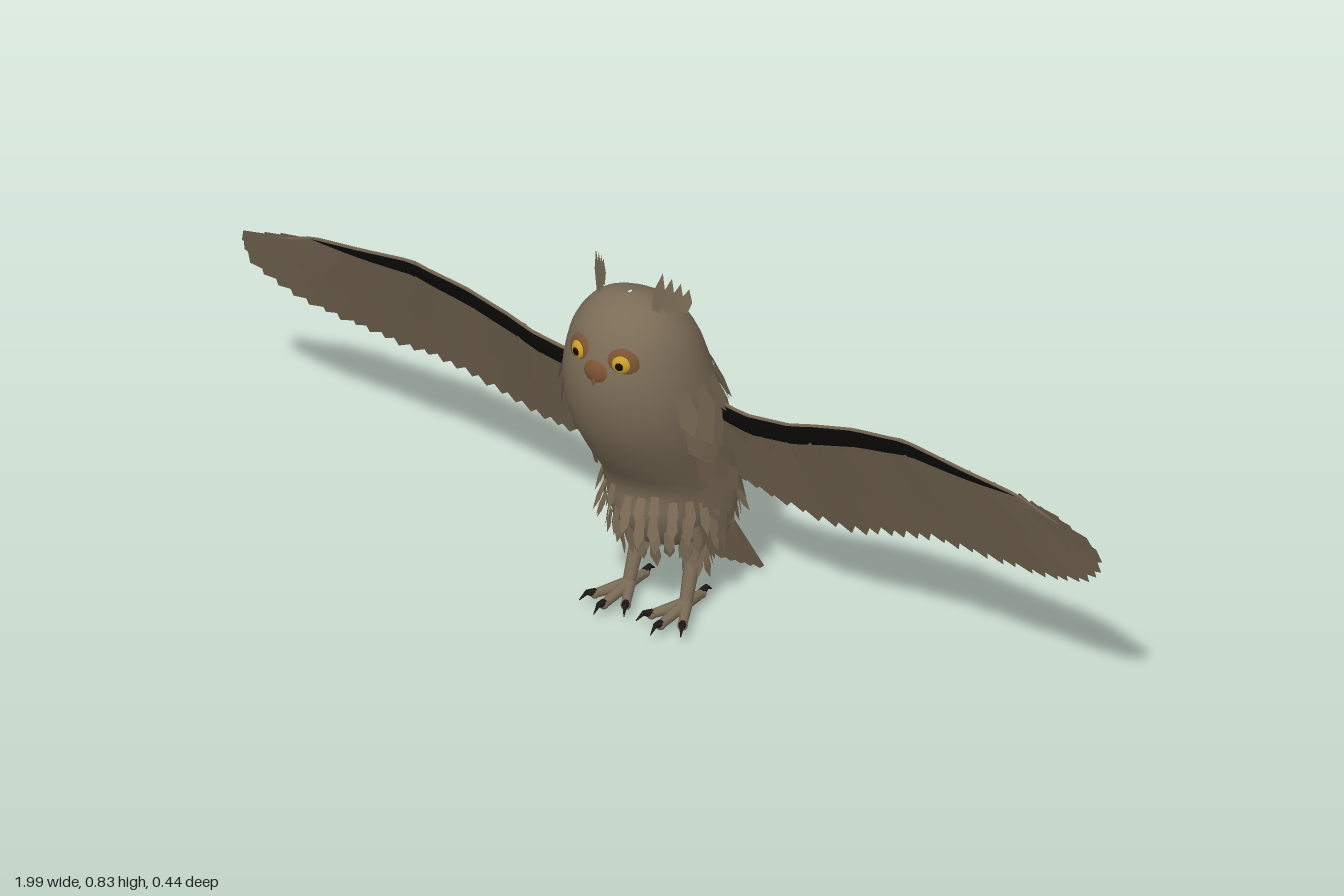
import * as THREE from 'three';

const V = (x, y, z) => new THREE.Vector3(x, y, z);
const mat = (name, color, side = THREE.FrontSide) => {
  const m = new THREE.MeshStandardMaterial({ color, side });
  m.name = name;
  return m;
};

// Small seeded generator for feather variation
let seed = 7;
const rnd = () => ((seed = (seed * 16807) % 2147483647) / 2147483647);

// Body rings, top to bottom: front y, front z, back y, back z, half width
const RINGS = [
  [0.766, 0.10, 0.766, 0.09, 0.003], [0.755, 0.14, 0.75, 0.045, 0.06],
  [0.725, 0.178, 0.72, 0, 0.095], [0.69, 0.2, 0.67, -0.04, 0.12],
  [0.62, 0.217, 0.6, -0.07, 0.138], [0.55, 0.212, 0.52, -0.098, 0.147],
  [0.48, 0.19, 0.44, -0.125, 0.145], [0.4, 0.145, 0.36, -0.148, 0.135],
  [0.32, 0.094, 0.27, -0.17, 0.125], [0.25, 0.09, 0.21, -0.175, 0.11],
  [0.19, 0.06, 0.155, -0.155, 0.085], [0.165, 0.02, 0.14, -0.12, 0.05],
  [0.16, -0.02, 0.145, -0.09, 0.003],
];
const frontCurve = new THREE.CatmullRomCurve3(RINGS.map(r => V(r[4], r[0], r[1])));
const backCurve = new THREE.CatmullRomCurve3(RINGS.map(r => V(0, r[2], r[3])));
// Point on the body: t runs down, a = 0 is the front and a = PI the back
function bodyPoint(t, a) {
  const f = frontCurve.getPoint(t), b = backCurve.getPoint(t), k = (1 + Math.cos(a)) / 2;
  return V(f.x * Math.sin(a), b.y + (f.y - b.y) * k, b.z + (f.z - b.z) * k);
}

// Grid surface from a point function; wrap closes it sideways
function surface(rows, cols, wrap, fn) {
  const pos = [], idx = [], n = wrap ? cols : cols + 1;
  for (let i = 0; i <= rows; i++)
    for (let j = 0; j < n; j++) pos.push(...fn(i / rows, j / cols).toArray());
  for (let i = 0; i < rows; i++)
    for (let j = 0; j < cols; j++) {
      const a = i * n + j, b = i * n + (j + 1) % n;
      idx.push(a, a + n, b, b, a + n, b + n);
    }
  const g = new THREE.BufferGeometry();
  g.setAttribute('position', new THREE.Float32BufferAttribute(pos, 3));
  g.setIndex(idx);
  g.computeVertexNormals();
  return g;
}

// Adds one flat feather: root p, direction d, surface normal n, widest at share m
function feather(out, p, d, n, len, wid, m = 0.6) {
  const dir = d.clone().normalize(), side = dir.clone().cross(n).normalize();
  const at = (u, v) => p.clone().addScaledVector(dir, u * len).addScaledVector(side, v * wid);
  const pts = [at(0, -0.35), at(m, -0.5), at(1, 0), at(m, 0.5), at(0, 0.35)];
  for (const i of [0, 2, 1, 0, 3, 2, 0, 4, 3]) out.push(...pts[i].toArray());
}
function featherGeometry(out) {
  const g = new THREE.BufferGeometry();
  g.setAttribute('position', new THREE.Float32BufferAttribute(out, 3));
  g.computeVertexNormals();
  return g;
}

// Tapered rod between two points
function rod(a, b, ra, rb, sides = 8) {
  const d = b.clone().sub(a), g = new THREE.CylinderGeometry(rb, ra, d.length(), sides);
  g.applyQuaternion(new THREE.Quaternion().setFromUnitVectors(V(0, 1, 0), d.clone().normalize()));
  const c = a.clone().add(b).multiplyScalar(0.5);
  return g.translate(c.x, c.y, c.z);
}

// Piecewise linear lookup in [x, value] pairs
function lookup(table, x) {
  let i = 0;
  while (i < table.length - 2 && x > table[i + 1][0]) i++;
  const [x0, y0] = table[i], [x1, y1] = table[i + 1];
  return y0 + (y1 - y0) * THREE.MathUtils.clamp((x - x0) / (x1 - x0), 0, 1);
}
const LEAD = [[0.1, 0.53], [0.2, 0.51], [0.3, 0.52], [0.45, 0.565], [0.57, 0.585], [0.7, 0.56], [0.82, 0.54], [0.99, 0.465]];
const LEADZ = [[0.1, 0], [0.35, -0.012], [0.55, 0], [0.8, -0.02], [1, -0.035]];
const wingPoint = (x, y, s, dz = 0) =>
  V(s * x, y, lookup(LEADZ, x) - 0.4 * (lookup(LEAD, x) - y) + dz);

export function createModel() {
  const root = new THREE.Group();
  root.name = 'owl';
  const plumage = mat('plumage', 0x7b6c57);
  const feathers = mat('feathers', 0x786954, THREE.DoubleSide);
  const black = mat('black', 0x0c0b09, THREE.DoubleSide);
  const brown = mat('faceBrown', 0x7a5232);
  const yellow = mat('eyeYellow', 0xc9a02a);
  const claw = mat('claw', 0x1c1815);
  const add = (name, geo, m) => {
    const mesh = new THREE.Mesh(geo, m);
    mesh.name = name;
    root.add(mesh);
    return mesh;
  };
  const ball = (name, m, x, y, z, sx, sy, sz, turn = 0) => {
    const b = add(name, new THREE.SphereGeometry(1, 20, 14), m);
    b.position.set(x, y, z);
    b.scale.set(sx, sy, sz);
    b.rotation.y = turn;
  };

  add('body', surface(40, 32, true, (u, v) => bodyPoint(u, v * Math.PI * 2)), plumage);

  // Overlapping feathers on the sides and back
  const coat = [], skirt = [];
  const cover = (out, t, a, len, wid, lift) => {
    const p = bodyPoint(t, a), down = bodyPoint(t + 0.02, a).sub(p).normalize();
    const n = down.clone().cross(bodyPoint(t, a + 0.05).sub(p)).normalize();
    feather(out, p.addScaledVector(n, 0.002), down.addScaledVector(n, lift), n, len, wid);
  };
  for (let r = 0; r < 9; r++)
    for (let k = 0; k < 13; k++) {
      const a = Math.PI + (k - 6 + (r % 2) * 0.5) * 0.31;
      cover(coat, 0.36 + r * 0.047, a + (rnd() - 0.5) * 0.1, 0.07 + rnd() * 0.03, 0.045, 0.1 + rnd() * 0.08);
    }
  // Ragged skirt around the belly
  for (let r = 0; r < 4; r++)
    for (let k = 0; k < 26; k++)
      cover(skirt, 0.67 + r * 0.045 + rnd() * 0.02, (k + rnd()) * Math.PI / 13,
        0.045 + rnd() * 0.025, 0.022, 0.25 + rnd() * 0.4);
  add('coatFeathers', featherGeometry(coat), feathers);
  add('bellyFeathers', featherGeometry(skirt), feathers);

  // Fanned tail
  const tail = [];
  for (let k = -4; k <= 4; k++)
    feather(tail, V(k * 0.011, 0.19, -0.135 - Math.abs(k) * 0.001),
      V(k * 0.0105, -0.18 + Math.abs(k) * 0.002, -0.075), V(0, 0.38, -0.92), 0.197, 0.034, 0.94);
  add('tail', featherGeometry(tail), feathers);

  add('beak', new THREE.ConeGeometry(0.013, 0.04, 8).rotateX(2.7).translate(0, 0.632, 0.214), brown);
  ball('beakBase', brown, 0, 0.64, 0.2, 0.032, 0.028, 0.02);

  for (const s of [1, -1]) {
    const sideName = s > 0 ? 'left' : 'right';
    // Eyes
    ball(sideName + 'EyePatch', brown, s * 0.046, 0.662, 0.186, 0.036, 0.036, 0.016, s * 0.35);
    ball(sideName + 'Eye', yellow, s * 0.048, 0.668, 0.192, 0.021, 0.021, 0.014, s * 0.35);
    ball(sideName + 'Pupil', black, s * 0.05, 0.668, 0.203, 0.009, 0.009, 0.005, s * 0.35);

    // Ear tufts
    const tuft = [];
    for (let k = 0; k < 4; k++)
      feather(tuft, V(s * (0.066 + k * 0.009), 0.745 - k * 0.006, 0.105 - k * 0.018),
        V(s * 0.012, 0.09, -0.008 - k * 0.004), V(s * 0.5, 0, 0.85), 0.09 - k * 0.013, 0.024, 0.5);
    add(sideName + 'EarTuft', featherGeometry(tuft), feathers);

    // Wing arm: a thin slab, thickest near the leading edge
    add(sideName + 'WingArm', surface(28, 10, true, (u, v) => {
      const x = 0.09 + u * 0.83, a = v * Math.PI * 2;
      const chord = 0.15 * (1 - 0.55 * u), k = (1 - Math.cos(a)) / 2;
      return wingPoint(x, lookup(LEAD, x) - k * chord, s, Math.sin(a) * 0.013 * (1 - 0.7 * u) * (1.1 - k));
    }), feathers);

    // Dark band under the leading edge
    add(sideName + 'WingBand', surface(24, 2, false, (u, v) => {
      const x = 0.12 + u * 0.7, h = 0.052 * (1 - u ** 3);
      return wingPoint(x, lookup(LEAD, x) - 0.003 - v * h, s, 0.008 + 0.008 * Math.sin(v * Math.PI) * (1 - u));
    }), black);

    // Flight feathers fan from the arm to the trailing outline
    const tips = new THREE.CatmullRomCurve3([V(0.13, 0.29, 0), V(0.23, 0.255, 0), V(0.35, 0.23, 0),
      V(0.545, 0.285, 0), V(0.73, 0.295, 0), V(0.87, 0.315, 0), V(0.965, 0.37, 0), V(0.998, 0.425, 0), V(0.99, 0.465, 0)]);
    const normal = V(0, 0.37, -0.93);
    const row = (name, count, reach, wid, dz) => {
      const out = [];
      for (let k = 0; k < count; k++) {
        const u = k / (count - 1), tip = tips.getPointAt(u);
        const x = 0.12 + 0.73 * Math.min(1, u * 1.05), y = lookup(LEAD, x) - 0.025;
        const end = V(x + (tip.x - x) * reach, y + (tip.y - y) * reach, 0);
        const shift = dz + (k % 2) * 0.002;
        const a = wingPoint(x, y, s, shift), b = wingPoint(end.x, end.y, s, shift);
        const d = b.clone().sub(a);
        feather(out, a, d, normal, d.length() * (0.98 + rnd() * 0.03), wid, 0.88);
      }
      add(sideName + name, featherGeometry(out), feathers);
    };
    row('FlightFeathers', 30, 1, 0.056, -0.002);
    row('BackCoverts', 28, 0.66, 0.05, -0.008);
    row('BackSmallCoverts', 28, 0.4, 0.045, -0.014);
    row('FrontCoverts', 28, 0.6, 0.05, 0.005);

    // Legs with feathered thighs
    const ankle = V(s * 0.066, 0.045, 0.002), knee = V(s * 0.062, 0.19, -0.045);
    add(sideName + 'Leg', rod(knee, ankle, 0.018, 0.013, 10), plumage);
    add(sideName + 'Thigh', rod(V(s * 0.06, 0.23, -0.04), V(s * 0.063, 0.13, -0.028), 0.042, 0.02, 12), plumage);
    const thigh = [];
    for (let k = 0; k < 20; k++) {
      const a = k * 2.4, n = V(Math.sin(a), 0, Math.cos(a));
      feather(thigh, V(s * 0.062, 0.2 - k * 0.003, -0.035).addScaledVector(n, 0.03 - k * 0.0005),
        V(n.x * 0.15, -1, n.z * 0.15 - 0.1), n, 0.05 + rnd() * 0.015, 0.022);
    }
    add(sideName + 'ThighFeathers', featherGeometry(thigh), feathers);

    // Toes and claws: three forward, one back
    for (const [a, len] of [[-0.5, 0.075], [0, 0.088], [0.5, 0.075], [Math.PI, 0.05]]) {
      const at = (r, y) => V(ankle.x + Math.sin(a) * r, y, Math.cos(a) * r);
      add(sideName + 'Toe', rod(at(-0.004, 0.04), at(len, 0.034), 0.013, 0.009), plumage);
      ball(sideName + 'ToeEnd', plumage, ...at(len, 0.034).toArray(), 0.01, 0.01, 0.01);
      add(sideName + 'ClawBase', rod(at(len, 0.036), at(len + 0.018, 0.042), 0.009, 0.005), claw);
      add(sideName + 'ClawTip', rod(at(len + 0.016, 0.042), at(len + 0.034, 0.028), 0.005, 0.0008), claw);
    }
  }
  return root;
}
